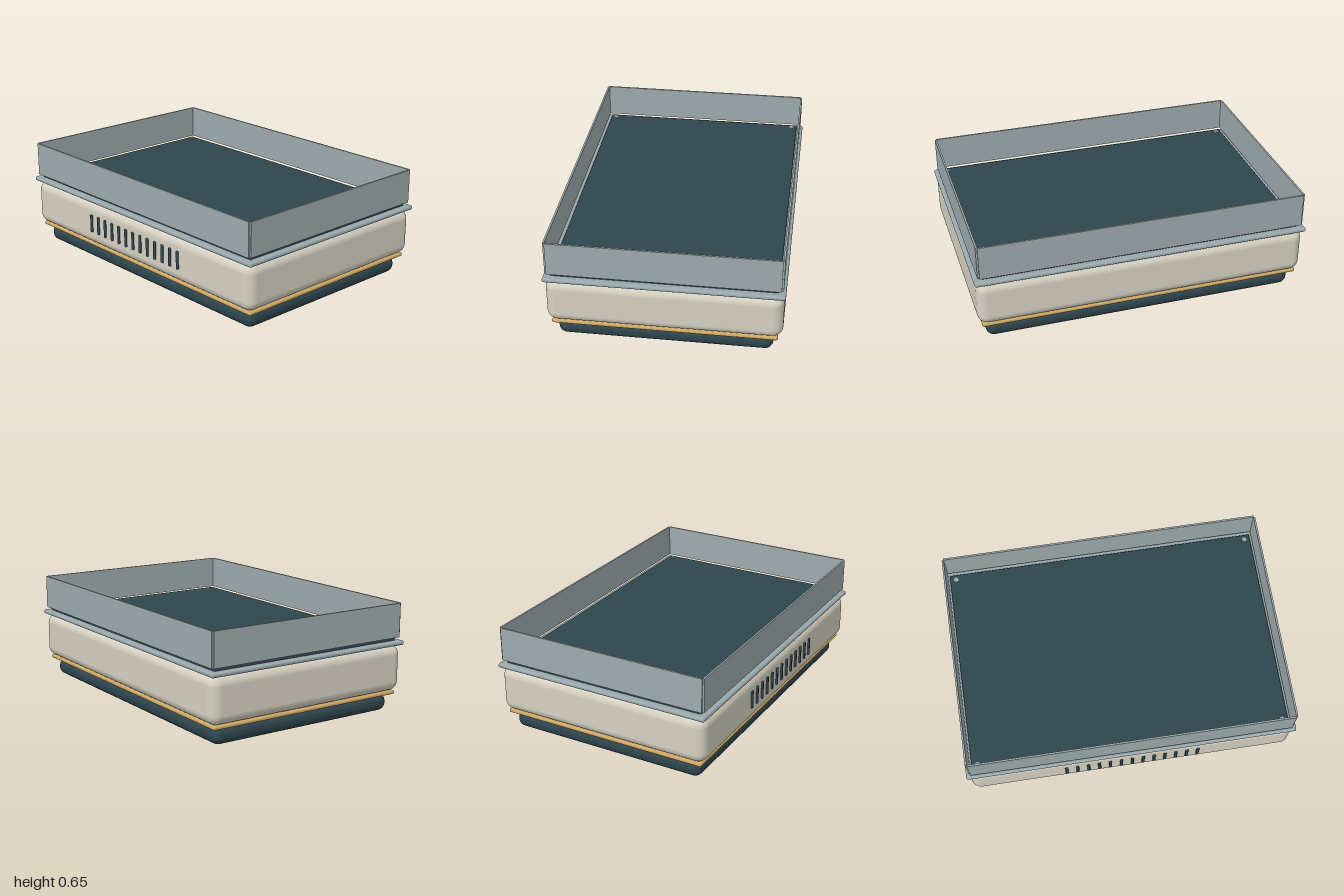
import * as THREE from 'three';
import { RoundedBoxGeometry } from 'three/addons/geometries/RoundedBoxGeometry.js';

const mat = (color) => new THREE.MeshStandardMaterial({ color });

export function createModel() {
  const model = new THREE.Group();
  model.name = 'ventedTray';

  const dark = mat(0x2f464e);
  const cream = mat(0xd6d1c2);
  const gold = mat(0xcda866);
  const steel = mat(0x98a8ac);
  const panel = mat(0x9eabad);

  const add = (name, geometry, material, x, y, z) => {
    const mesh = new THREE.Mesh(geometry, material);
    mesh.name = name;
    mesh.position.set(x, y, z);
    model.add(mesh);
    return mesh;
  };

  // Rounded slab given by half width, half depth and its bottom and top heights
  const slab = (name, hx, hz, y0, y1, radius, material) =>
    add(name, new RoundedBoxGeometry(hx * 2, y1 - y0, hz * 2, 5, radius), material, 0, (y0 + y1) / 2, 0);

  // Stacked housing
  slab('base', 0.94, 0.62, 0, 0.107, 0.05, dark);
  slab('goldTrim', 0.967, 0.645, 0.104, 0.127, 0.01, gold);
  slab('body', 0.99, 0.672, 0.127, 0.408, 0.06, cream);
  slab('rim', 1, 0.679, 0.405, 0.431, 0.012, steel);
  slab('deck', 0.96, 0.64, 0.425, 0.449, 0.008, dark);

  // Row of vents on the front
  const ventGeometry = new RoundedBoxGeometry(0.018, 0.112, 0.02, 3, 0.006);
  for (let i = 0; i < 13; i++) {
    add('vent', ventGeometry, dark, (i - 6) * 0.0672, 0.27, 0.672);
  }

  // Thin upright walls, meeting at the corners
  const wallHeight = 0.204;
  const wallY = 0.451 + wallHeight / 2;
  const longWall = new THREE.BoxGeometry(1.94, wallHeight, 0.011);
  const sideWall = new THREE.BoxGeometry(0.011, wallHeight, 1.31);
  for (const s of [-1, 1]) {
    add(s > 0 ? 'frontWall' : 'backWall', longWall, panel, 0, wallY, s * 0.66);
    add(s > 0 ? 'leftWall' : 'rightWall', sideWall, panel, s * 0.9745, wallY, 0);
  }

  // Screws in the deck corners
  const screwGeometry = new THREE.CylinderGeometry(0.015, 0.015, 0.012, 20);
  for (const sx of [-1, 1]) {
    for (const sz of [-1, 1]) {
      add('screw', screwGeometry, steel, sx * 0.922, 0.448, sz * 0.604);
    }
  }

  return model;
}
